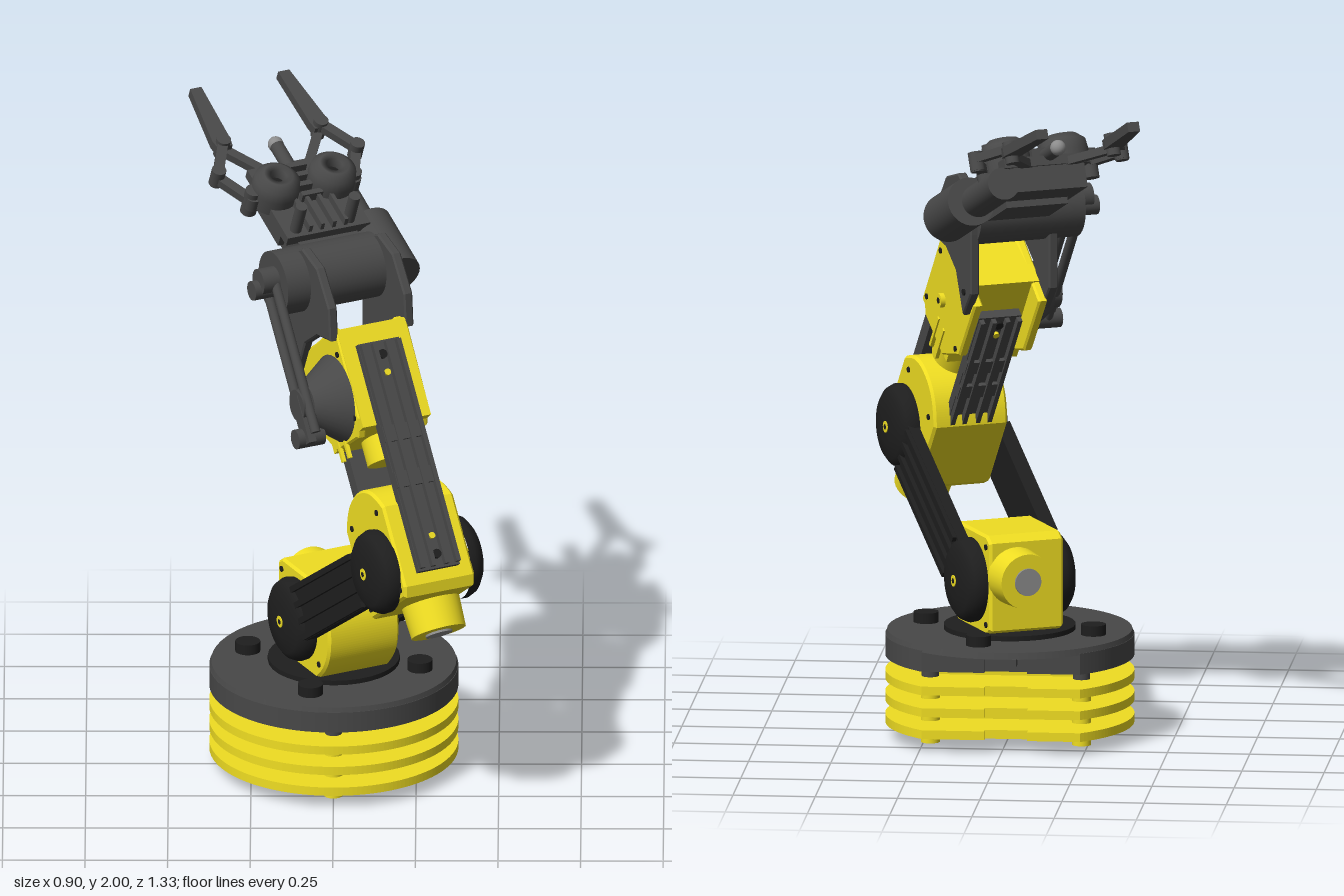
import * as THREE from 'three';

const mat = (color) => new THREE.MeshStandardMaterial({ color });
const YELLOW = mat(0xf0de22), DARK = mat(0x484848), BLACK = mat(0x1e1e1e), GREY = mat(0x8c8c8c);
const AXES = { x: [0, 0, -Math.PI / 2], y: [0, 0, 0], z: [Math.PI / 2, 0, 0] };

function add(parent, name, geo, m, pos = [0, 0, 0], rot = [0, 0, 0]) {
  const mesh = new THREE.Mesh(geo, m);
  mesh.name = name;
  mesh.position.set(...pos);
  mesh.rotation.set(...rot);
  parent.add(mesh);
  return mesh;
}
const box = (p, n, m, size, pos, rot) => add(p, n, new THREE.BoxGeometry(...size), m, pos, rot);
// r2 is the radius at the positive end of the axis
const cyl = (p, n, m, r, len, pos, axis = 'y', r2 = r) =>
  add(p, n, new THREE.CylinderGeometry(r2, r, len, 32), m, pos, AXES[axis]);
const lathe = (pts, sides) => new THREE.LatheGeometry(pts.map(([r, h]) => new THREE.Vector2(r, h)), sides);
const poly = (pts) => new THREE.Shape(pts.map(([x, y]) => new THREE.Vector2(x, y)));

function prism(p, n, m, shape, depth, z = 0, bevel = 0) {
  const g = new THREE.ExtrudeGeometry(shape, {
    depth: depth - 2 * bevel, curveSegments: 24, bevelEnabled: bevel > 0,
    bevelSize: bevel, bevelOffset: -bevel, bevelThickness: bevel, bevelSegments: 1 });
  g.translate(0, 0, -depth / 2 + bevel);
  return add(p, n, g, m, [0, 0, z]);
}

function group(parent, name, pos, rotZ = 0) {
  const g = new THREE.Group();
  g.name = name;
  g.position.set(...pos);
  g.rotation.z = rotZ;
  parent.add(g);
  return g;
}

// Flat bar with round ends between two points of the x-z plane
function linkBar(p, name, a, b, y, width, thick = 0.025) {
  const dx = b[0] - a[0], dz = b[1] - a[1], len = Math.hypot(dx, dz);
  box(p, name, DARK, [len, thick, width], [(a[0] + b[0]) / 2, y, (a[1] + b[1]) / 2], [0, -Math.atan2(dz, dx), 0]);
  for (const e of [a, b]) cyl(p, name + 'Pivot', DARK, width * 0.7, thick * 1.7, [e[0], y, e[1]]);
}

// Ribbed rail with screws, running along x on a face turned to side (+1 or -1) y
function rail(p, name, x0, x1, y, side) {
  const g = group(p, name, [(x0 + x1) / 2, y, 0]), len = x1 - x0;
  box(g, 'railPlate', DARK, [len, 0.03, 0.138], [0, side * 0.015, 0]);
  for (const z of [-0.06, -0.022, 0.022, 0.06])
    box(g, 'railRib', DARK, [len * 0.98, 0.022, 0.014], [0, side * 0.038, z]);
  for (const s of [-1, 1]) {
    cyl(g, 'railScrew', YELLOW, 0.01, 0.012, [s * len * 0.36, side * 0.034, 0]);
    cyl(g, 'railHole', BLACK, 0.014, 0.012, [s * len * 0.44, side * 0.034, 0]);
    box(g, 'railClip', DARK, [0.05, 0.025, 0.138], [s * len * 0.1, side * 0.03, 0]);
  }
}

// Motor housing with a bowed end at -x (reaching to tip) and its output boss toward +x
function motorHousing(p, tip, h) {
  const s = new THREE.Shape();
  s.moveTo(0.14, -h + 0.02).lineTo(0.14, h - 0.02).lineTo(0.11, h).lineTo(tip + 0.085, h);
  s.bezierCurveTo(tip + 0.03, h - 0.04, tip, 0.07, tip, 0);
  s.bezierCurveTo(tip, -0.07, tip + 0.03, -h + 0.04, tip + 0.085, -h);
  s.lineTo(0.11, -h);
  prism(p, 'motorHousing', YELLOW, s, 0.24, 0, 0.008);
  cyl(p, 'motorBoss', YELLOW, 0.09, 0.1, [0.185, 0.03, 0.035], 'x', 0.085);
  cyl(p, 'motorShaft', GREY, 0.042, 0.01, [0.237, 0.03, 0.035], 'x');
  for (const z of [-1, 1]) for (const [x, y] of [[0.11, 0.12], [0.11, -0.12], [-0.14, 0.1], [-0.14, -0.1]])
    cyl(p, 'housingScrew', BLACK, 0.009, 0.008, [x, y, z * 0.12], 'z');
}

function buildBase(root) {
  const base = group(root, 'base', [0, 0, -0.03]);
  const R = 0.377, back = 0.29, cut = Math.asin(back / R);
  // Disc with a flat, notched back
  const shape = new THREE.Shape().absarc(0, 0, R, Math.PI - cut, 2 * Math.PI + cut, false);
  for (const [x, y] of [[0.05, back], [0.05, back - 0.025], [-0.08, back - 0.025], [-0.08, back]]) shape.lineTo(x, y);
  const plate = (name, m, y0, y1) => {
    const g = new THREE.ExtrudeGeometry(shape, { depth: y1 - y0, bevelEnabled: false, curveSegments: 64 });
    add(base, name, g, m, [0, y0, 0], [-Math.PI / 2, 0, 0]);
  };
  for (const y of [0.042, 0.11, 0.177]) plate('basePlate', YELLOW, y, y + 0.027);
  plate('turntable', DARK, 0.25, 0.315);
  add(base, 'turntableLid', new THREE.CylinderGeometry(R - 0.006, R, 0.02, 64), DARK, [0, 0.32, 0]);
  box(base, 'turntableTab', DARK, [0.07, 0.025, 0.05], [-0.02, 0.3, -0.36]);
  // Motor block and posts between the plates
  box(base, 'baseMotor', YELLOW, [0.42, 0.2, 0.26], [0, 0.15, 0.03]);
  cyl(base, 'baseMotorBoss', YELLOW, 0.085, 0.06, [0.23, 0.12, 0.03], 'x');
  cyl(base, 'baseMotorShaft', GREY, 0.045, 0.012, [0.262, 0.12, 0.03], 'x');
  for (const [x, z] of [[-0.23, -0.125], [0.23, -0.125], [0, 0.27]]) {
    cyl(base, 'foot', YELLOW, 0.029, 0.2, [x, 0.1, z]);
    cyl(base, 'post', DARK, 0.026, 0.07, [x, 0.225, z]);
  }
  for (let i = 0; i < 4; i++) {
    const a = THREE.MathUtils.degToRad(15 + 90 * i);
    cyl(base, 'turntableBolt', BLACK, 0.038, 0.032, [0.27 * Math.cos(a), 0.346, 0.27 * Math.sin(a)]);
  }
  cyl(base, 'centreFoot', YELLOW, 0.018, 0.1, [0, 0.06, 0]);
  cyl(base, 'shoulderPad', BLACK, 0.2, 0.016, [0, 0.337, 0]);
}

// Pair of black links from shoulder to elbow, with domed joint caps
function buildUpperLinks(arm, a, b) {
  const dx = b[0] - a[0], dy = b[1] - a[1], len = Math.hypot(dx, dy);
  const links = group(arm, 'upperLinks', [a[0], a[1], 0], Math.atan2(dy, dx));
  const dome = lathe([[0.128, 0], [0.13, 0.02], [0.12, 0.042], [0.1, 0.057], [0.05, 0.064], [0, 0.065]], 40);
  for (const s of [-1, 1]) {
    box(links, 'linkBeam', BLACK, [len, 0.17, 0.035], [len / 2, 0, s * 0.14]);
    for (const y of [-0.075, -0.025, 0.025, 0.075])
      box(links, 'linkRib', BLACK, [len - 0.2, 0.018, 0.015], [len / 2, y, s * 0.163]);
    for (const x of [0, len]) {
      add(links, 'jointCap', dome, BLACK, [x, 0, s * 0.118], [s * Math.PI / 2, 0, 0]);
      cyl(links, 'jointScrew', YELLOW, 0.018, 0.01, [x, 0, s * 0.18], 'z');
      cyl(links, 'jointScrewSocket', BLACK, 0.008, 0.012, [x, 0, s * 0.18], 'z');
    }
  }
}

function buildForearm(arm, pos, angle) {
  const f = group(arm, 'forearm', [...pos, 0], angle);
  motorHousing(group(f, 'elbowMotor', [0.025, -0.025, 0], Math.PI), -0.23, 0.152);
  rail(f, 'backRail', -0.05, 0.67, 0.12, 1);
  rail(f, 'frontRail', 0.1, 0.62, -0.125, -1);
  // Wrist motor housing: a core with wider side plates
  prism(f, 'wristHousing', YELLOW, poly([[0.4, -0.12], [0.73, -0.12], [0.73, 0.13], [0.42, 0.13]]), 0.23);
  const side = poly([[0.4, -0.09], [0.5, -0.19], [0.72, -0.195], [0.74, 0.1], [0.725, 0.13], [0.45, 0.125], [0.4, 0.08]]);
  for (const s of [-1, 1]) {
    prism(f, 'wristHousingSide', YELLOW, side, 0.03, s * 0.105, 0.006);
    cyl(f, 'sideScrew', YELLOW, 0.022, 0.02, [0.547, 0, s * 0.125], 'z');
    cyl(f, 'sideScrewSocket', BLACK, 0.009, 0.024, [0.547, 0, s * 0.125], 'z');
    for (const y of [-0.06, -0.01]) box(f, 'housingSlot', YELLOW, [0.12, 0.012, 0.012], [0.42, y, s * 0.119]);
    for (const [x, y] of [[0.5, -0.16], [0.66, 0.1], [0.46, 0.1]])
      cyl(f, 'sideRivet', BLACK, 0.009, 0.008, [x, y, s * 0.12], 'z');
    // Wrist cheeks
    prism(f, 'wristCheek', DARK, poly([[0.7, 0.12], [0.79, 0.172], [0.92, 0.165], [1.0, 0.1], [1.02, -0.01],
      [0.92, -0.085], [0.77, -0.19], [0.67, -0.18], [0.74, -0.06], [0.74, 0.04]]), 0.03, s * 0.128, 0.005);
    cyl(f, 'cheekScrew', BLACK, 0.01, 0.01, [0.74, -0.15, s * 0.143], 'z');
  }
  cyl(f, 'wristMotorBoss', YELLOW, 0.083, 0.09, [0.375, -0.03, 0.03], 'x');
  // Crank cup and the rods that drive the wrist
  cyl(f, 'crankCup', DARK, 0.065, 0.1, [0.547, 0, -0.17], 'z', 0.135);
  cyl(f, 'crankHub', DARK, 0.05, 0.04, [0.547, 0, -0.23], 'z');
  cyl(f, 'rodKnob', DARK, 0.03, 0.09, [0.45, -0.02, -0.23], 'z');
  for (const y of [-0.03, 0.04]) cyl(f, 'wristRod', DARK, 0.015, 0.48, [0.69, y, -0.23], 'x');
  box(f, 'crankArm', DARK, [0.15, 0.05, 0.025], [0.5, 0, -0.24]);
  cyl(f, 'rodTopKnob', DARK, 0.03, 0.09, [0.92, 0, -0.25], 'z');
}

function buildGripper(arm, pos, angle) {
  const g = group(arm, 'gripper', [...pos, 0], angle);
  cyl(g, 'wristBarrel', DARK, 0.1, 0.34, [0, 0, -0.05], 'z');
  cyl(g, 'wristBarrelEnd', DARK, 0.04, 0.06, [0, 0.02, -0.245], 'z');
  cyl(g, 'wristServo', DARK, 0.075, 0.22, [0.045, 0, 0.17], 'x');
  cyl(g, 'wristServoNeck', DARK, 0.05, 0.24, [0.27, 0, 0.15], 'x');
  box(g, 'palm', DARK, [0.24, 0.1, 0.2], [0.14, 0, 0]);
  box(g, 'palmTop', DARK, [0.3, 0.03, 0.28], [0.25, 0.06, 0]);
  box(g, 'palmBottom', DARK, [0.22, 0.08, 0.24], [0.28, 0.01, 0]);
  for (const z of [-0.06, -0.02, 0.02, 0.06]) box(g, 'palmRib', DARK, [0.12, 0.03, 0.012], [0.17, 0.085, z]);
  for (const z of [-0.1, 0.08]) cyl(g, 'wristPin', DARK, 0.018, 0.11, [0.13, 0.12, z]);
  // Finger hub with a sunken centre
  const hub = lathe([[0.075, -0.03], [0.075, 0.02], [0.07, 0.055], [0.045, 0.075], [0.025, 0.07], [0.025, 0.03]], 28);
  for (const s of [-1, 1]) {
    const z = (v) => s * v - 0.005;
    add(g, 'fingerHub', hub, DARK, [0.29, 0.08, z(0.095)]);
    cyl(g, 'fingerHubCore', BLACK, 0.025, 0.06, [0.29, 0.085, z(0.095)]);
    cyl(g, 'hubScrew', DARK, 0.025, 0.09, [0.29, 0.06, z(0.17)]);
    linkBar(g, 'outerLink', [0.28, z(0.17)], [0.4, z(0.235)], 0.065, 0.032);
    linkBar(g, 'fingerArm', [0.4, z(0.235)], [0.517, z(0.165)], 0.08, 0.032);
    linkBar(g, 'innerLink', [0.36, z(0.05)], [0.517, z(0.165)], 0.055, 0.03);
    cyl(g, 'fingerPin', DARK, 0.02, 0.06, [0.4, 0.07, z(0.235)]);
    // Tapered jaw
    const jaw = prism(g, 'jaw', DARK, poly([[0.5, 0.14], [0.53, 0.135], [0.752, 0.13], [0.752, 0.168], [0.53, 0.195], [0.5, 0.19]]
      .map(([x, v]) => [x, -z(v)])), 0.03);
    jaw.rotation.x = -Math.PI / 2;
    jaw.position.y = 0.07;
  }
  // Teeth and lamp between the hubs
  for (let i = 0; i < 4; i++) box(g, 'gearTooth', DARK, [0.018, 0.04, 0.07], [0.24 + i * 0.04, 0.085, 0]);
  cyl(g, 'lampStem', DARK, 0.022, 0.1, [0.42, 0.08, -0.01], 'x');
  add(g, 'lamp', new THREE.SphereGeometry(0.024, 20, 14), GREY, [0.475, 0.08, -0.01]);
}

export function createModel() {
  const root = new THREE.Group();
  root.name = 'robotArm';
  buildBase(root);
  // The arm's own frame: x reaches forward, y up, z sideways
  const arm = group(root, 'arm', [0, 0, -0.03]);
  arm.rotation.y = THREE.MathUtils.degToRad(117);
  const shoulder = [0, 0.49], elbow = [-0.56, 0.857], wrist = [-0.03, 1.62];
  motorHousing(group(arm, 'shoulderMotor', [...shoulder, 0]), -0.205, 0.155);
  buildUpperLinks(arm, shoulder, elbow);
  buildForearm(arm, elbow, THREE.MathUtils.degToRad(55));
  buildGripper(arm, wrist, THREE.MathUtils.degToRad(24));
  return root;
}
